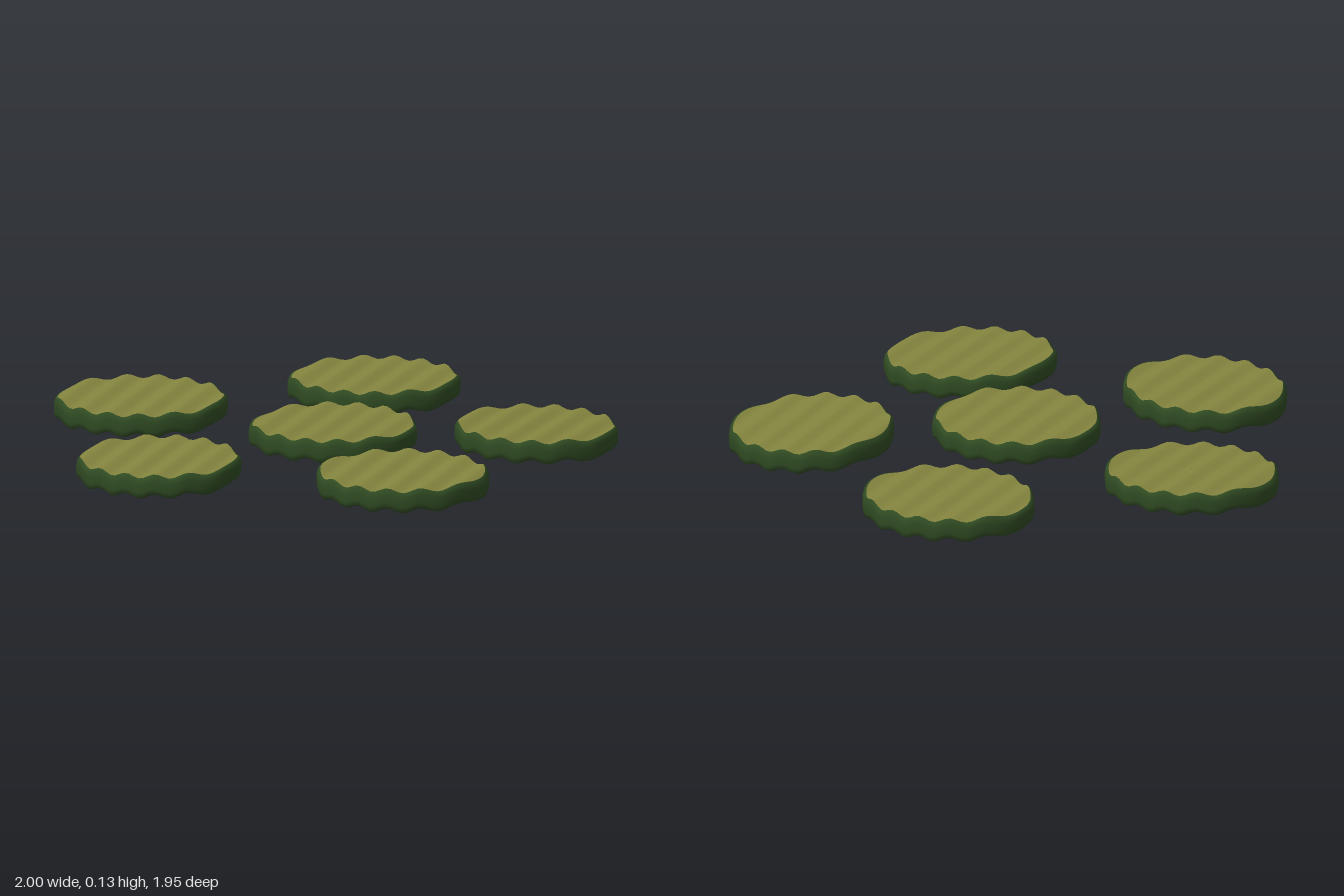
import * as THREE from 'three';
import { mergeVertices } from 'three/addons/utils/BufferGeometryUtils.js';

const HALF = 0.036;    // half thickness
const RIPPLE = 0.008;  // crinkle height
const PERIOD = 0.106;  // crinkle spacing along x
const FLESH = 0.955;   // flesh radius relative to the skin

// x, y, z centre; long and short radius; turn of the oval; slopes in x and z; crinkle phase
const SLICES = [
  { name: 'backSlice', c: [-0.04, 0.058, -0.698], r: [0.303, 0.283], turn: 0, tilt: [0.01, 0.01], phase: -0.03 },
  { name: 'leftSlice', c: [0.712, 0.053, -0.243], r: [0.283, 0.302], turn: 0, tilt: [-0.02, 0.03], phase: 0.71 },
  { name: 'rightSlice', c: [-0.7, 0.067, -0.122], r: [0.303, 0.284], turn: -0.3, tilt: [0, -0.01], phase: -0.7 },
  { name: 'middleSlice', c: [0.072, 0.081, 0.07], r: [0.293, 0.293], turn: 0, tilt: [0.005, 0.01], phase: -0.01 },
  { name: 'frontRightSlice', c: [-0.359, 0.069, 0.681], r: [0.304, 0.282], turn: 0.75, tilt: [0.02, -0.01], phase: -0.36 },
  { name: 'frontLeftSlice', c: [0.512, 0.072, 0.606], r: [0.304, 0.284], turn: -0.8, tilt: [-0.02, -0.01], phase: 0.47 },
];

// Shapes a unit disc part into an oval, crinkled, slightly tilted slice
function crinkle(geometry, s) {
  geometry.deleteAttribute('uv');
  geometry.deleteAttribute('normal');
  const g = mergeVertices(geometry, 1e-4);
  const p = g.attributes.position;
  const cos = Math.cos(s.turn), sin = Math.sin(s.turn);
  for (let i = 0; i < p.count; i++) {
    const u = p.getX(i) * s.r[0], v = p.getZ(i) * s.r[1];
    const dx = u * cos - v * sin, dz = u * sin + v * cos;
    const wave = -RIPPLE * Math.sin((2 * Math.PI * (s.c[0] + dx - s.phase)) / PERIOD);
    p.setXYZ(i, s.c[0] + dx, s.c[1] + p.getY(i) + wave + s.tilt[0] * dx + s.tilt[1] * dz, s.c[2] + dz);
  }
  g.computeVertexNormals();
  return g;
}

export function createModel() {
  const flesh = new THREE.MeshStandardMaterial({ name: 'olive flesh', color: 0x85863f });
  const skin = new THREE.MeshStandardMaterial({ name: 'dark green skin', color: 0x2f4a22 });
  const model = new THREE.Group();
  model.name = 'crinkleCutSlices';

  // Rounded skin band, bottom to top
  const profile = [
    [FLESH, -HALF], [0.985, -HALF * 0.85], [1, -HALF * 0.4],
    [1, HALF * 0.4], [0.985, HALF * 0.85], [FLESH, HALF],
  ].map(([x, y]) => new THREE.Vector2(x, y));

  for (const s of SLICES) {
    const slice = new THREE.Group();
    slice.name = s.name;
    const add = (name, geometry, material) => {
      const mesh = new THREE.Mesh(crinkle(geometry, s), material);
      mesh.name = name;
      slice.add(mesh);
    };
    add('skin', new THREE.LatheGeometry(profile, 96), skin);
    // Flesh faces, top and bottom
    for (const side of [1, -1]) {
      const face = new THREE.RingGeometry(0.002, FLESH, 96, 28);
      face.rotateX((-side * Math.PI) / 2).translate(0, side * HALF, 0);
      add(side > 0 ? 'topFlesh' : 'bottomFlesh', face, flesh);
    }
    model.add(slice);
  }
  return model;
}
